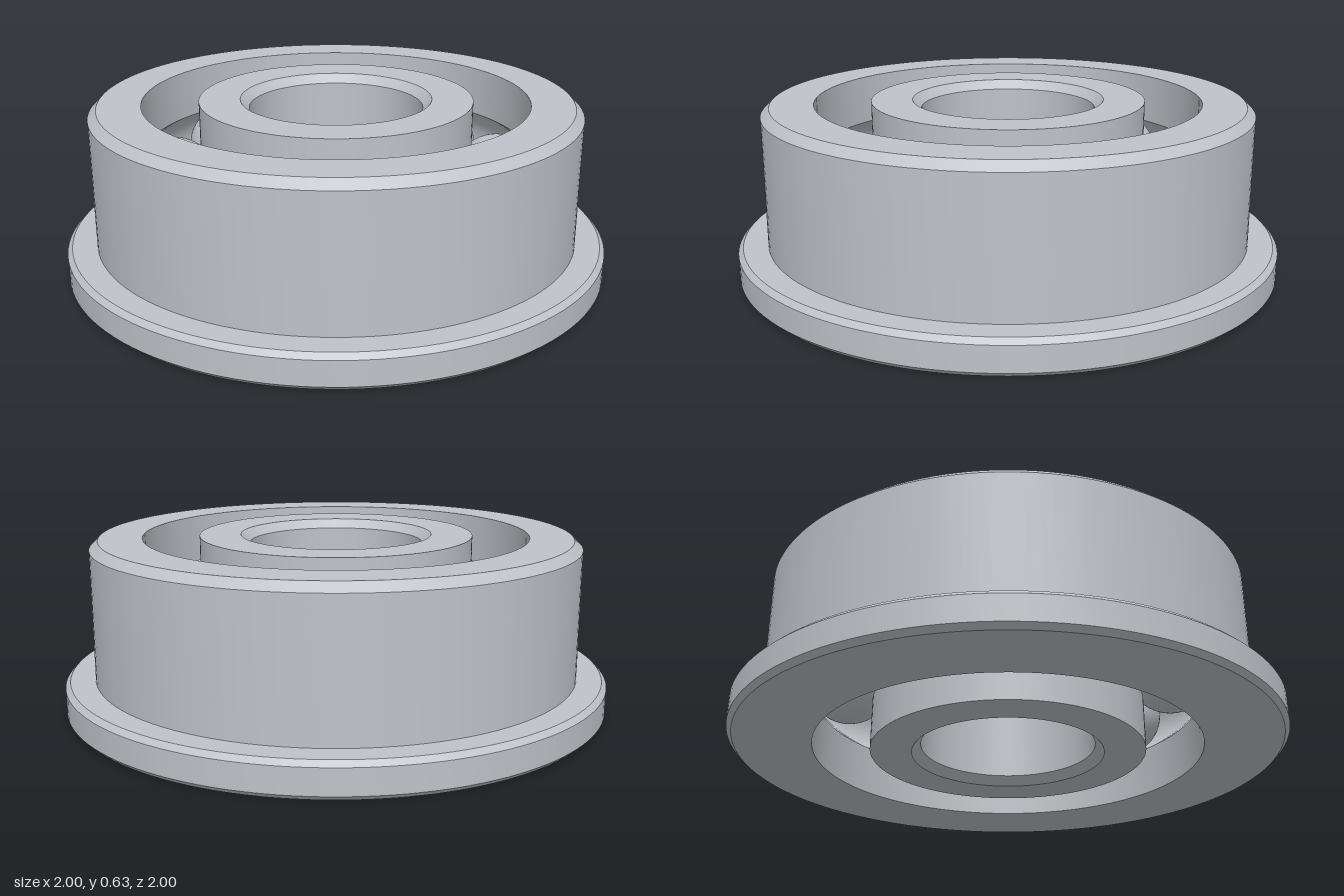
import * as THREE from 'three';
import { toCreasedNormals } from 'three/addons/utils/BufferGeometryUtils.js';

const HEIGHT = 0.63, MID = HEIGHT / 2;
const PITCH = 0.604, BALL = 0.16, GROOVE = 0.164;
const OUTER_BORE = 0.705, INNER_RIM = 0.5;

// Arc of the ball groove, centred on the pitch circle
function groove(from, to, steps = 18) {
  return Array.from({ length: steps + 1 }, (_, i) => {
    const t = from + ((to - from) * i) / steps;
    return [PITCH + GROOVE * Math.cos(t), MID + GROOVE * Math.sin(t)];
  });
}

// Closed ring turned from a counter-clockwise profile, with sharp corners
function turnedRing(name, profile, material) {
  const points = [...profile, profile[0]].map(([r, y]) => new THREE.Vector2(r, y));
  const geometry = toCreasedNormals(new THREE.LatheGeometry(points, 128), 0.4);
  const mesh = new THREE.Mesh(geometry, material);
  mesh.name = name;
  return mesh;
}

export function createModel() {
  const model = new THREE.Group();
  model.name = 'flangedBallBearing';
  const steel = new THREE.MeshStandardMaterial({ color: 0xbfc3c9 });
  steel.name = 'steel';

  // Outer ring: chamfered flange at the base, chamfered top, groove inside
  const outerAngle = Math.acos((OUTER_BORE - PITCH) / GROOVE);
  model.add(turnedRing('outerRing', [
    [OUTER_BORE, 0], [0.982, 0], [1, 0.018], [1, 0.108], [0.982, 0.126],
    [0.893, 0.126], [0.893, 0.6], [0.862, HEIGHT], [OUTER_BORE, HEIGHT],
    ...groove(outerAngle, -outerAngle),
  ], steel));

  // Inner ring: groove outside, bore chamfered at both ends
  const innerAngle = Math.acos((PITCH - INNER_RIM) / GROOVE);
  model.add(turnedRing('innerRing', [
    [0.35, 0], [INNER_RIM, 0],
    ...groove(Math.PI + innerAngle, Math.PI - innerAngle),
    [INNER_RIM, HEIGHT], [0.35, HEIGHT], [0.318, HEIGHT - 0.032], [0.318, 0.032],
  ], steel));

  // Eight balls evenly spaced on the pitch circle
  const balls = new THREE.Group();
  balls.name = 'balls';
  const ballGeometry = new THREE.SphereGeometry(BALL, 48, 32);
  for (let i = 0; i < 8; i++) {
    const angle = (i * Math.PI) / 4;
    const ball = new THREE.Mesh(ballGeometry, steel);
    ball.name = 'ball' + (i + 1);
    ball.position.set(PITCH * Math.cos(angle), MID, PITCH * Math.sin(angle));
    balls.add(ball);
  }
  model.add(balls);
  return model;
}
